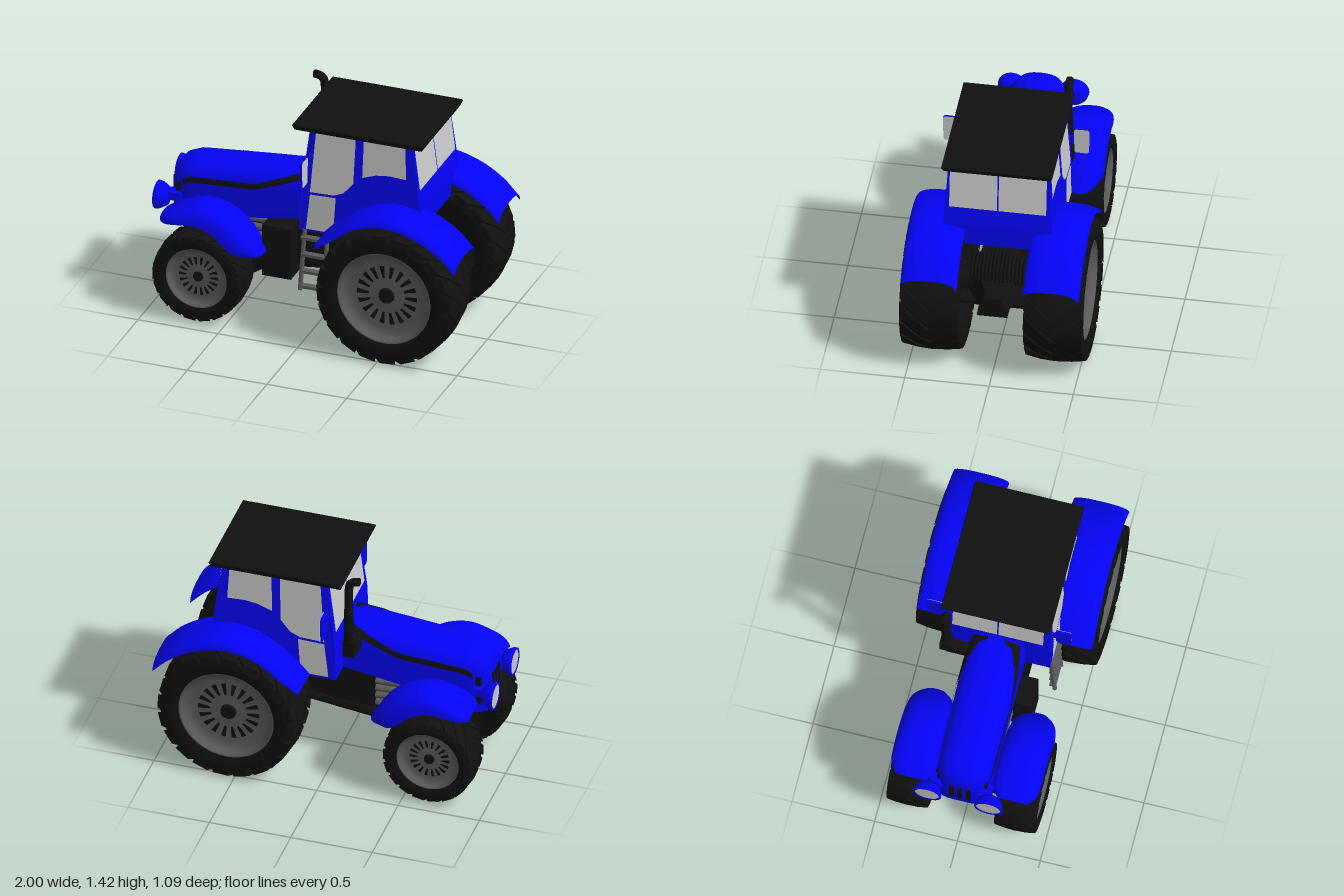
import * as THREE from 'three';
import { mergeGeometries, toCreasedNormals } from 'three/addons/utils/BufferGeometryUtils.js';

const mat = (color) => new THREE.MeshStandardMaterial({ color, side: THREE.DoubleSide });
const blue = mat(0x0404f8), black = mat(0x101010), rimGrey = mat(0x5a5a5a), glass = mat(0xcccccc);

function add(parent, name, geo, material) {
  const m = new THREE.Mesh(geo, material);
  m.name = name;
  parent.add(m);
  return m;
}

// Box given by its limits on each axis
function box(x0, x1, y0, y1, z0, z1) {
  return new THREE.BoxGeometry(x1 - x0, y1 - y0, z1 - z0).translate((x0 + x1) / 2, (y0 + y1) / 2, (z0 + z1) / 2);
}

// Cylinder between two points
function rod(a, b, r, r2 = r, seg = 14) {
  const p = new THREE.Vector3(...a), d = new THREE.Vector3(...b).sub(p);
  const g = new THREE.CylinderGeometry(r2, r, d.length(), seg);
  g.applyQuaternion(new THREE.Quaternion().setFromUnitVectors(new THREE.Vector3(0, 1, 0), d.clone().normalize()));
  return g.translate(...p.addScaledVector(d, 0.5).toArray());
}

// Skin over rows of points
function loft(rows, crease = 0.6) {
  const n = rows[0].length, idx = [];
  for (let i = 0; i < rows.length - 1; i++)
    for (let j = 0; j < n - 1; j++) {
      const a = i * n + j, b = a + n;
      idx.push(a, b, a + 1, b, b + 1, a + 1);
    }
  const g = new THREE.BufferGeometry();
  g.setAttribute('position', new THREE.Float32BufferAttribute(rows.flat(2), 3));
  g.setIndex(idx);
  return toCreasedNormals(g, crease);
}

// Copy of a group reflected across z = 0
function mirrored(group, name) {
  const out = new THREE.Group();
  out.name = name;
  for (const m of group.children) {
    const g = m.geometry.index ? m.geometry.toNonIndexed() : m.geometry.clone();
    g.scale(1, 1, -1);
    for (const key of ['position', 'normal']) {
      const a = g.attributes[key].array;
      for (let i = 0; i < a.length; i += 9)
        for (let k = 0; k < 3; k++) [a[i + k], a[i + 6 + k]] = [a[i + 6 + k], a[i + k]];
    }
    add(out, m.name, g, m.material);
  }
  return out;
}

const shapeOf = (pts) => new THREE.Shape(pts.map((p) => new THREE.Vector2(...p)));
const extrude = (pts, depth) => new THREE.ExtrudeGeometry(shapeOf(pts), { depth, bevelEnabled: false });

// Tyre with chevron lugs, dished rim, wedge slots and hub; outer face towards +z
function wheel(name, cx, cy, cz, R, W, lugs) {
  const g = new THREE.Group();
  g.name = name;
  const put = (n, geo, m) => add(g, n, geo.translate(cx, cy, cz), m);
  const lathe = (pts) => new THREE.LatheGeometry(pts.map(([r, z]) => new THREE.Vector2(r * R, z * W)), 48).rotateX(Math.PI / 2);
  const half = [[0.66, 0.86], [0.74, 0.96], [0.86, 0.97], [0.92, 0.92], [0.965, 0.4]];
  put('tyre', lathe([...half, ...half.slice().reverse().map(([r, z]) => [r, -z])]), black);
  const parts = [], hw = (Math.PI / lugs) * 0.74;
  for (let k = 0; k < lugs; k++)
    for (const s of [-1, 1]) {
      const a0 = (k / lugs) * Math.PI * 2;
      const rows = [[0, 1, 0.94], [0.5, 0.985, 0.93], [0.97, 0.957, 0.88], [1, 0.86, 0.84]].map(([u, top, base]) =>
        [[-1, top], [1, top], [1, base], [-1, base], [-1, top]].map(([e, r]) => {
          const a = a0 + 0.4 * u + e * hw;
          return [Math.cos(a) * r * R, Math.sin(a) * r * R, s * u * W];
        }));
      parts.push(loft(rows, 0.3));
    }
  put('treadLugs', mergeGeometries(parts), black);
  put('rim', lathe([[0, 0.6], [0.2, 0.6], [0.5, 0.55], [0.61, 0.7], [0.64, 0.88], [0.67, 0.88]]), rimGrey);
  put('innerRim', lathe([[0, -0.45], [0.5, -0.4], [0.64, -0.85], [0.67, -0.86]]), black);
  const wedge = [[0.26, -0.015], [0.43, -0.032], [0.43, 0.032], [0.26, 0.015]].map(([x, y]) => [x * R, y * R]);
  const slots = [];
  for (let k = 0; k < 18; k++)
    slots.push(extrude(wedge, 0.05 * W).translate(0, 0, 0.55 * W).rotateZ((k / 18) * Math.PI * 2));
  put('rimSlots', mergeGeometries(slots), black);
  put('hub', rod([0, 0, 0.5 * W], [0, 0, 0.7 * W], 0.115 * R, 0.105 * R, 20), black);
  return g;
}

// Arched mudguard with rounded shoulders between an upper and a lower edge line, narrowing at its ends
function fender(upper, lower, z0, z1, taper, round) {
  const curve = (pts) => new THREE.CatmullRomCurve3(pts.map((p) => new THREE.Vector3(p[0], p[1], 0))).getPoints(28);
  const u = curve(upper), l = curve(lower), zc = (z0 + z1) / 2;
  return loft(u.map((p, i) => Array.from({ length: 17 }, (_, j) => {
    const hw = ((z1 - z0) / 2) * (1 - taper * Math.abs(i / 14 - 1) ** 7);
    const a = (j / 16) * Math.PI, c = Math.cos(a);
    const q = l[i].clone().lerp(p, Math.pow(Math.sin(a) + 1e-9, round));
    return [q.x, q.y, zc - hw * Math.sign(c) * Math.pow(Math.abs(c), round)];
  })), 1.2);
}

// Hood side position at height y for a section of half width w
const hoodZ = (w, top, y) => {
  const t = Math.min(1, Math.max(0, (y - top + 0.13) / 0.13));
  return w * Math.pow(1 - t ** 2.6, 1 / 2.6);
};

function hood() {
  const sections = [[-0.94, 0.07, 0.79, 0.54], [-0.925, 0.11, 0.84, 0.52], [-0.89, 0.14, 0.88, 0.52], [-0.82, 0.16, 0.905, 0.52],
    [-0.79, 0.162, 0.909, 0.53], [-0.77, 0.163, 0.91, 0.59], [-0.4, 0.166, 0.945, 0.63], [-0.03, 0.17, 0.975, 0.69]];
  const rows = sections.map(([x, w, top, bot]) => {
    const side = [[x, bot, w]];
    for (let i = 0; i <= 10; i++) {
      const y = top - 0.13 * (1 - Math.sin((i / 10) * Math.PI / 2));
      side.push([x, y, hoodZ(w, top, y)]);
    }
    const other = side.slice(0, -1).reverse().map(([a, b, c]) => [a, b, -c]);
    return [...side, ...other, side[0]];
  });
  rows.unshift(rows[0].map(() => [-0.943, 0.67, 0]));
  return loft(rows, 0.7);
}

// Half width of the cab and x of its end walls at height y
const cabZ = (y) => 0.32 - Math.max(0, y - 0.95) * 0.055;
const rearX = (y) => 0.698 - (y - 0.95) * 0.127;
const frontX = (y) => -0.048 + (y - 0.95) * 0.12;

function cabShell() {
  const g = extrude([[-0.06, 0.69], [0.11, 0.69], [0.22, 0.78], [0.36, 0.88], [0.55, 0.92],
    [0.698, 0.92], [0.698, 0.95], [0.648, 1.345], [0, 1.345], [-0.048, 0.95]], 2);
  const p = g.attributes.position;
  for (let i = 0; i < p.count; i++) p.setZ(i, (p.getZ(i) - 1) * cabZ(p.getY(i)));
  g.computeVertexNormals();
  return g;
}

function sideWindow(pts) {
  const g = new THREE.ShapeGeometry(shapeOf(pts));
  const p = g.attributes.position;
  for (let i = 0; i < p.count; i++) p.setZ(i, cabZ(p.getY(i)) + 0.004);
  g.computeVertexNormals();
  return g;
}

export function createModel() {
  const model = new THREE.Group();
  model.name = 'tractor';

  // Parts that exist on both sides
  const side = new THREE.Group();
  side.name = 'leftSide';
  add(side, 'rearFender', fender([[0.1, 0.7], [0.2, 0.8], [0.35, 0.91], [0.55, 0.97], [0.75, 0.925], [0.9, 0.84], [1, 0.74]],
    [[0.11, 0.69], [0.22, 0.76], [0.36, 0.86], [0.55, 0.905], [0.75, 0.86], [0.9, 0.77], [1, 0.67]], 0.195, 0.53, 0, 0.8), blue);
  add(side, 'frontFender', fender([[-0.91, 0.66], [-0.8, 0.72], [-0.65, 0.765], [-0.5, 0.73], [-0.38, 0.64], [-0.28, 0.49]],
    [[-0.9, 0.625], [-0.79, 0.645], [-0.66, 0.655], [-0.55, 0.61], [-0.46, 0.53], [-0.37, 0.48]], 0.165, 0.45, 0.4, 0.7), blue);
  add(side, 'doorWindow', sideWindow([[0.01, 0.95], [0.16, 0.955], [0.22, 0.98], [0.28, 1.05], [0.29, 1.34], [0.04, 1.34]]), glass);
  add(side, 'lowerDoorWindow', sideWindow([[-0.015, 0.705], [0.1, 0.705], [0.16, 0.77], [0.172, 0.94], [0.01, 0.935]]), glass);
  add(side, 'rearSideWindow', sideWindow([[0.335, 1.1], [0.42, 1.13], [0.5, 1.14], [0.61, 1.135], [0.6, 1.34], [0.34, 1.34]]), glass);
  const pane = (fx, off, y0, y1, w) => loft([y0, y1].map((y) => [0.004, w].map((z) => [fx(y) + off, y, z])));
  add(side, 'rearWindow', pane(rearX, 0.004, 1.067, 1.342, 0.288), glass);
  add(side, 'windshield', pane(frontX, -0.004, 1, 1.342, 0.275), glass);
  // Wing mirror
  add(side, 'mirrorArm', box(-0.012, 0.002, 1.08, 1.135, 0.29, 0.35), blue);
  const outline = [[0.345, 1.03], [0.353, 1.022], [0.42, 1.02], [0.432, 1.03], [0.435, 1.18], [0.425, 1.192], [0.35, 1.19], [0.342, 1.178]];
  add(side, 'mirrorBack', extrude(outline, 0.01).rotateY(-Math.PI / 2), blue);
  add(side, 'mirrorGlass', new THREE.ShapeGeometry(shapeOf(outline)).rotateY(-Math.PI / 2).translate(0.004, 0, 0), glass);
  // Black stripe following the hood flank
  const stripe = [[-0.85, 0.785, 0.158], [-0.8, 0.81, 0.162], [-0.42, 0.835, 0.166], [-0.36, 0.85, 0.167], [-0.2, 0.91, 0.168], [-0.06, 0.96, 0.17]];
  add(side, 'hoodStripe', loft(stripe.map(([x, y, w]) => [-0.02, 0, 0.016].map((d) =>
    [x, y + d, hoodZ(w, 0.978 + (x + 0.05) * 0.09, y + d) + 0.006]))), black);
  add(side, 'noseVent', box(-0.895, -0.865, 0.58, 0.77, 0.12, 0.15), black);
  // Headlamp
  const lamp = [[0, 0], [0.055, 0], [0.068, 0.02], [0.082, 0.045], [0.086, 0.07], [0.072, 0.07]];
  const toFront = (g) => g.rotateZ(Math.PI / 2).translate(-0.93, 0.685, 0.185);
  add(side, 'headlamp', toFront(new THREE.LatheGeometry(lamp.map((p) => new THREE.Vector2(...p)), 28)), blue);
  add(side, 'headlampLens', toFront(new THREE.CylinderGeometry(0.073, 0.073, 0.006, 28).translate(0, 0.064, 0)), glass);
  add(side, 'headlampArm', box(-0.94, -0.86, 0.66, 0.71, 0.11, 0.185), blue);
  for (const y of [0.46, 0.51, 0.56, 0.61]) add(side, 'sidePipe', rod([-0.6, y + 0.01, 0.14], [-0.25, y, 0.14], 0.02), rimGrey);
  add(side, 'chassisRail', rod([-0.6, 0.31, 0.1], [0.3, 0.42, 0.1], 0.04, 0.04, 4), black);
  model.add(side, mirrored(side, 'rightSide'));

  // Wheels
  const rear = wheel('leftRearWheel', 0.55, 0.442, 0.367, 0.437, 0.178, 20);
  const front = wheel('leftFrontWheel', -0.66, 0.31, 0.325, 0.285, 0.125, 18);
  model.add(rear, front, mirrored(rear, 'rightRearWheel'), mirrored(front, 'rightFrontWheel'));

  // Hood and grille
  add(model, 'hood', hood(), blue);
  for (const z of [-0.05, 0, 0.05]) add(model, 'grilleSlot', box(-0.946, -0.93, 0.6, 0.76, z - 0.014, z + 0.014), black);

  // Cab, with an underside sloping up to the rear
  add(model, 'cab', cabShell(), blue);
  add(model, 'cabUnderside', extrude([[0, 0.69], [0.3, 0.69], [0.697, 0.81], [0.697, 0.93], [0, 0.93]], 0.39).translate(0, 0, -0.195), blue);
  const ring = (y, i) => [[-0.1 + i, y, -0.33 + i], [0.72 - i, y, -0.33 + i], [0.72 - i, y, 0.33 - i], [-0.1 + i, y, 0.33 - i], [-0.1 + i, y, -0.33 + i]];
  add(model, 'roof', loft([ring(1.342, 0.33), ring(1.342, 0.012), ring(1.372, 0), ring(1.38, 0.004), ring(1.38, 0.33)], 0.2), black);

  // Exhaust stack on the right
  add(model, 'exhaustMount', box(-0.17, -0.1, 0.87, 0.97, -0.32, -0.25), black);
  add(model, 'exhaustBracket', box(-0.17, -0.1, 0.86, 0.91, -0.28, -0.15), black);
  add(model, 'muffler', rod([-0.13, 0.96, -0.288], [-0.13, 1.19, -0.288], 0.03, 0.028, 18), black);
  const bend = new THREE.CatmullRomCurve3([[-0.13, 1.18], [-0.13, 1.33], [-0.138, 1.375], [-0.16, 1.394], [-0.193, 1.4]].map((p) => new THREE.Vector3(...p, -0.288)));
  add(model, 'exhaustPipe', new THREE.TubeGeometry(bend, 24, 0.025, 14), black);
  add(model, 'exhaustTip', new THREE.SphereGeometry(0.025, 14, 10).scale(0.4, 1, 1).translate(-0.193, 1.4, -0.288), black);

  // Chassis, axles and drivetrain
  add(model, 'engine', box(-0.8, -0.13, 0.4, 0.65, -0.11, 0.11), black);
  add(model, 'transmission', box(-0.13, 0.62, 0.4, 0.69, -0.11, 0.11), black);
  add(model, 'sideTank', box(-0.12, 0.16, 0.43, 0.68, 0, 0.19), black);
  add(model, 'frontAxleBlock', box(-0.74, -0.55, 0.24, 0.4, -0.19, 0.19), black);
  add(model, 'frontAxle', rod([-0.66, 0.31, -0.3], [-0.66, 0.31, 0.3], 0.05), black);
  add(model, 'rearAxle', rod([0.55, 0.44, -0.35], [0.55, 0.44, 0.35], 0.07), black);
  add(model, 'fuelBox', box(-0.31, -0.13, 0.32, 0.65, 0.1, 0.27), black);
  // Ribbed differential housing
  const ribs = [];
  for (let k = -7; k <= 7; k++) {
    const z = k * 0.022, r = 0.12 * Math.sqrt(1 - (k / 10) ** 2);
    ribs.push(rod([0.62, 0.585, z - 0.011], [0.62, 0.585, z], r - 0.012, r, 20), rod([0.62, 0.585, z], [0.62, 0.585, z + 0.011], r, r - 0.012, 20));
  }
  add(model, 'differential', mergeGeometries(ribs), black);

  // Rear hitch
  add(model, 'hitchNeck', loft([[0.66, 0.17], [0.82, 0.08]].map(([x, w]) =>
    [[x, 0.44, w], [x, 0.57, w * 0.7], [x, 0.57, -w * 0.7], [x, 0.44, -w], [x, 0.44, w]]), 0.2), black);
  add(model, 'hitchHead', extrude([[-0.09, 0.44], [0.09, 0.44], [0.085, 0.48], [0.05, 0.57], [-0.05, 0.57], [-0.085, 0.48]], 0.08)
    .rotateY(Math.PI / 2).translate(0.81, 0, 0), black);
  add(model, 'drawbar', box(0.55, 0.72, 0.385, 0.41, -0.22, 0.22), black);

  // Ladder on the left
  for (const [x0, x1] of [[-0.043, -0.025], [0.105, 0.118]]) add(model, 'ladderRail', rod([x0, 0.31, 0.345], [x1, 0.7, 0.315], 0.014, 0.014, 8), rimGrey);
  for (const y of [0.33, 0.43, 0.54, 0.65]) add(model, 'ladderRung', box(-0.04, 0.112, y - 0.009, y + 0.009, 0.31, 0.35), rimGrey);
  return model;
}
